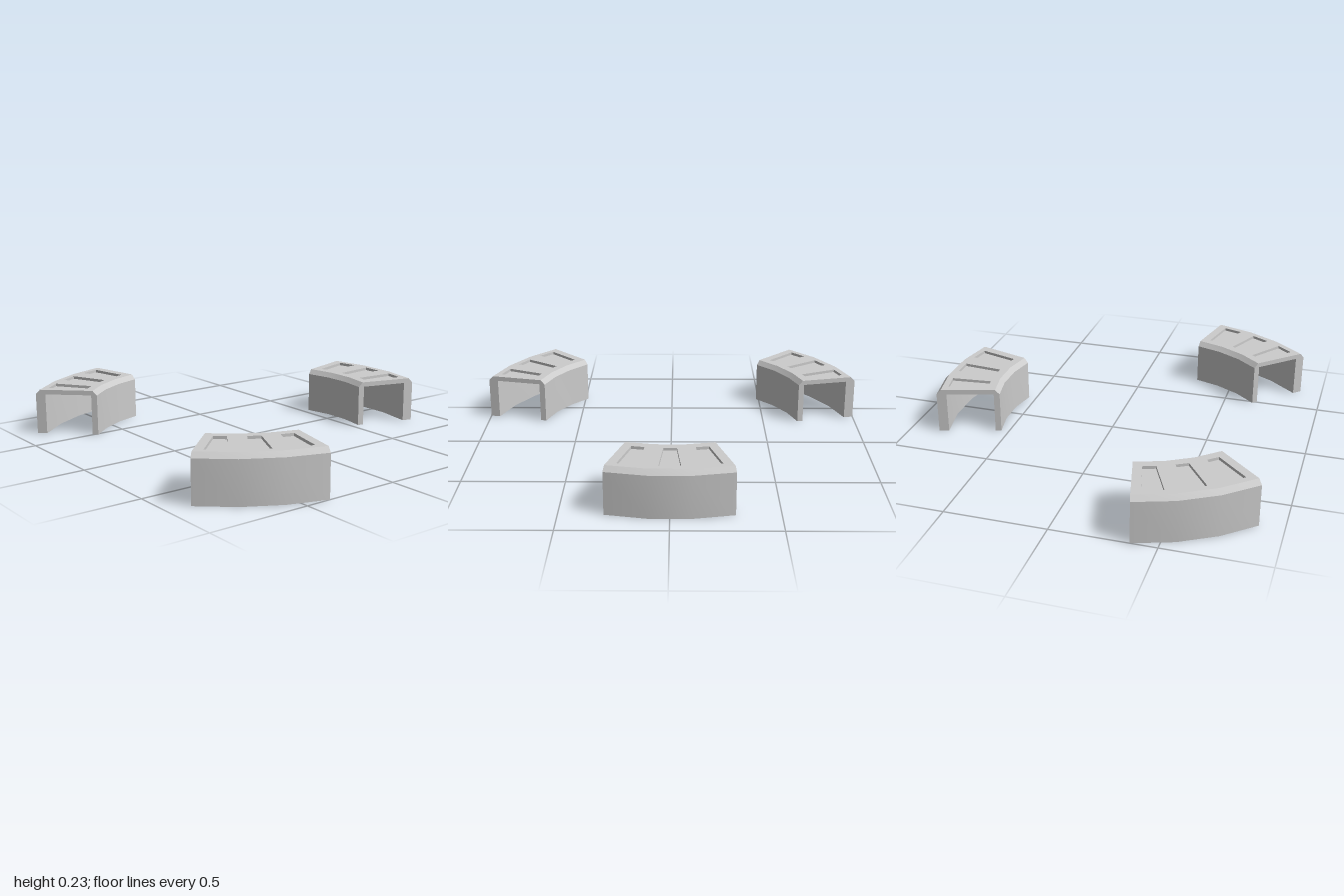
import * as THREE from 'three';
import { toCreasedNormals } from 'three/addons/utils/BufferGeometryUtils.js';

const STEP = THREE.MathUtils.degToRad(11.11);   // one facet of the arc
const HALF = STEP * 1.5;
const R0 = 0.707, R1 = 1.028;                   // inner and outer radius
const H = 0.232, CEIL = 0.208, BEVEL = 0.022;   // top, underside of roof, bevel width
const DEPTH = 0.014;                            // depth of the recessed panels
const CENTRE_Z = 0.137;

// Polar point: angle 0 points to the back, r outward
const P = (a, r, y) => [r * Math.sin(a), y, -r * Math.cos(a)];
const flat = (a, r) => new THREE.Vector2(r * Math.sin(a), r * Math.cos(a));

function quad(out, a, b, c, d) {
  out.push(...a, ...b, ...c, ...a, ...c, ...d);
}

// Fills a 2D outline and maps each point into space
function fill(out, points, holes, map, flip = false) {
  const shape = new THREE.Shape(points);
  holes.forEach(h => shape.holes.push(new THREE.Path(h)));
  const geo = new THREE.ShapeGeometry(shape);
  const pos = geo.attributes.position, idx = geo.index.array;
  for (let i = 0; i < idx.length; i += 3) {
    const tri = [idx[i], idx[i + 1], idx[i + 2]];
    if (flip) tri.reverse();
    tri.forEach(k => out.push(...map(pos.getX(k), pos.getY(k))));
  }
}

function toGeometry(positions) {
  const geo = new THREE.BufferGeometry();
  geo.setAttribute('position', new THREE.Float32BufferAttribute(positions, 3));
  return toCreasedNormals(geo, 0.5);
}

// Tapered panel outline, counter-clockwise seen from above
function panelOutline(mid) {
  return [[-0.031, 0.768], [0.031, 0.768], [0.05, 0.971], [-0.05, 0.971]].map(([x, r]) =>
    new THREE.Vector2(x, r).rotateAround(new THREE.Vector2(), -mid));
}

const panels = [-STEP, 0, STEP].map(panelOutline);

// Arched channel: two walls and a roof with panel openings
function shellGeometry() {
  const out = [];
  const section = [
    [R0 + BEVEL, H], [R0, CEIL], [R0, 0], [R0 + 0.03, 0], [R0 + 0.03, CEIL],
    [R1 - 0.05, CEIL], [R1 - 0.05, 0], [R1, 0], [R1, CEIL], [R1 - BEVEL, H],
  ];
  for (let s = 0; s < 3; s++) {
    const a0 = -HALF + s * STEP, a1 = a0 + STEP;
    for (let i = 0; i < section.length - 1; i++) {
      const p = section[i], q = section[i + 1];
      quad(out, P(a0, ...p), P(a0, ...q), P(a1, ...q), P(a1, ...p));
    }
  }
  // End faces
  const outline = section.map(p => new THREE.Vector2(...p));
  fill(out, outline, [], (r, y) => P(HALF, r, y));
  fill(out, outline, [], (r, y) => P(-HALF, r, y), true);
  // Roof surface
  const angles = [0, 1, 2, 3].map(i => -HALF + i * STEP);
  const roof = [
    ...angles.map(a => flat(a, R0 + BEVEL)),
    ...angles.map(a => flat(-a, R1 - BEVEL)),
  ];
  fill(out, roof, panels, (x, y) => [x, H, -y]);
  return toGeometry(out);
}

// Sides and floor of one recess
function panelGeometry(outline) {
  const out = [], low = H - DEPTH;
  outline.forEach((p, i) => {
    const q = outline[(i + 1) % outline.length];
    quad(out, [p.x, H, -p.y], [q.x, H, -q.y], [q.x, low, -q.y], [p.x, low, -p.y]);
  });
  fill(out, outline, [], (x, y) => [x, low, -y]);
  return toGeometry(out);
}

export function createModel() {
  const model = new THREE.Group();
  model.name = 'archedSegments';
  const material = new THREE.MeshStandardMaterial({ color: 0xcccccc });
  const shell = shellGeometry();
  const recesses = panels.map(panelGeometry);

  // Three equal segments around a ring
  ['backSegment', 'rightSegment', 'leftSegment'].forEach((name, i) => {
    const segment = new THREE.Group();
    segment.name = name;
    const body = new THREE.Mesh(shell, material);
    body.name = 'channelShell';
    segment.add(body);
    recesses.forEach(geo => {
      const recess = new THREE.Mesh(geo, material);
      recess.name = 'recessedPanel';
      segment.add(recess);
    });
    segment.rotation.y = i * Math.PI * 2 / 3;
    segment.position.z = CENTRE_Z;
    model.add(segment);
  });
  return model;
}
